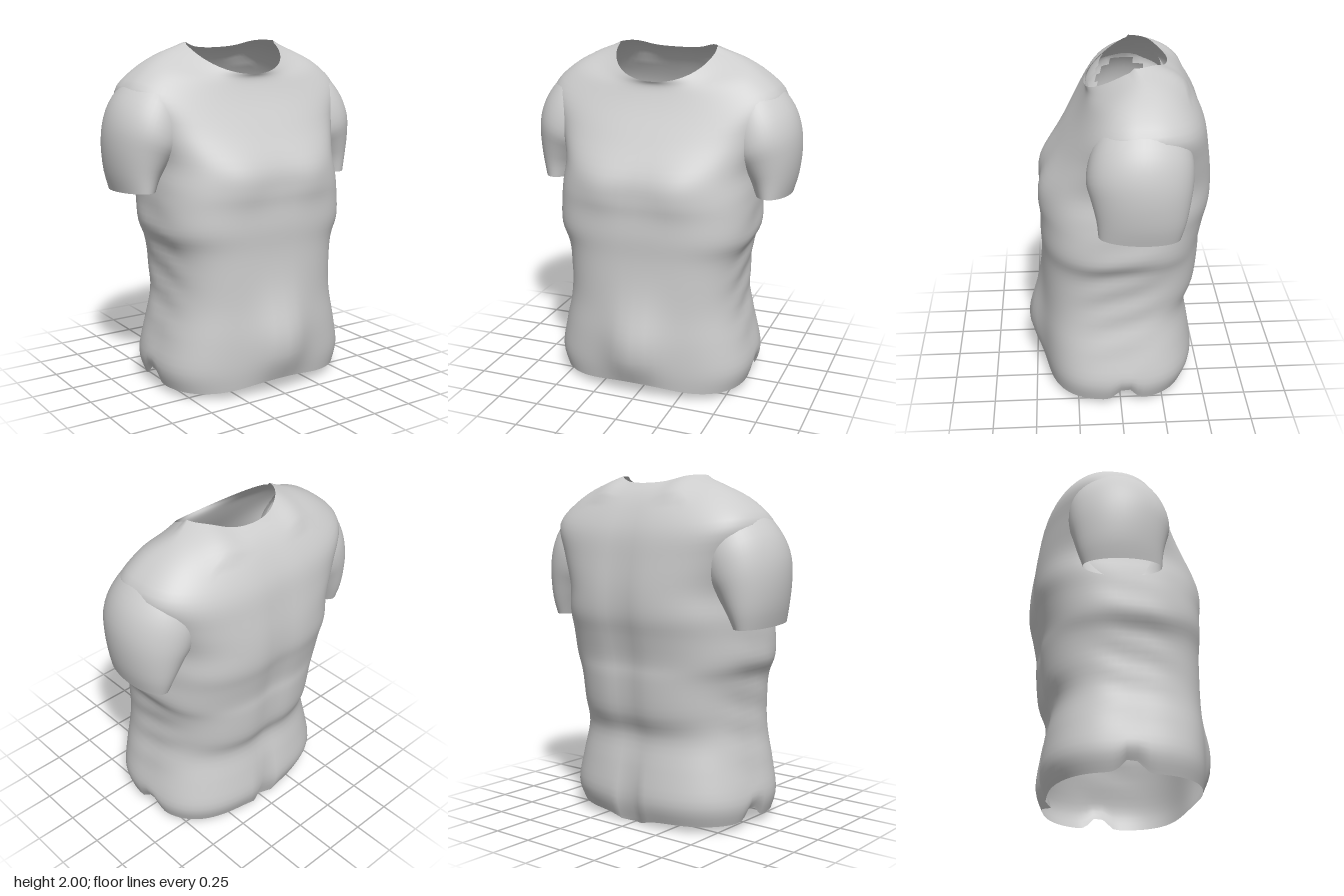
import * as THREE from 'three';

const cloth = new THREE.MeshStandardMaterial({ color: 0xcccccc, side: THREE.DoubleSide });
cloth.name = 'light grey cloth';

const gauss = (v, w) => Math.exp(-(v / w) * (v / w));
const mix = (a, b, t) => a + (b - a) * t;

// Smoothly subdivide a list of cross-section rows
function refine(rows, steps) {
  const out = [];
  const at = i => rows[Math.min(Math.max(i, 0), rows.length - 1)];
  for (let i = 0; i < rows.length - 1; i++) {
    for (let s = 0; s < steps; s++) {
      const t = s / steps, p = at(i - 1), q = at(i), r = at(i + 1), w = at(i + 2);
      out.push(q.map((_, k) => q[k] + 0.5 * t * (r[k] - p[k]
        + t * (2 * p[k] - 5 * q[k] + 4 * r[k] - w[k] + t * (3 * (q[k] - r[k]) + w[k] - p[k])))));
    }
  }
  out.push(rows[rows.length - 1]);
  return out;
}

// Skin closed rings; point(row, angle) returns [x, y, z]; faces with all corners hidden are left out
function loft(rows, segments, point, hidden) {
  const points = [], index = [];
  for (const row of rows) {
    for (let j = 0; j < segments; j++) points.push(point(row, (j / segments) * Math.PI * 2));
  }
  for (let i = 0; i < rows.length - 1; i++) {
    for (let j = 0; j < segments; j++) {
      const a = i * segments + j, b = i * segments + (j + 1) % segments;
      const c = a + segments, d = b + segments;
      if ([a, b, c, d].every(k => hidden(...points[k]))) continue;
      index.push(a, c, b, b, c, d);
    }
  }
  const g = new THREE.BufferGeometry();
  g.setAttribute('position', new THREE.Float32BufferAttribute(points.flat(), 3));
  g.setIndex(index);
  g.computeVertexNormals();
  return g;
}

// Torso rows: half width, side y, side z, front y, front z, back y, back z, front power, back power
const torsoRows = [
  [0.575, 0.04, 0, 0.04, 0.435, 0.04, -0.42, 0.7, 0.75],
  [0.605, 0.16, 0, 0.16, 0.445, 0.16, -0.46, 0.7, 0.75],
  [0.57, 0.34, 0, 0.34, 0.45, 0.34, -0.44, 0.7, 0.75],
  [0.53, 0.53, 0, 0.52, 0.445, 0.52, -0.415, 0.7, 0.75],
  [0.525, 0.7, 0, 0.7, 0.445, 0.66, -0.465, 0.7, 0.75],
  [0.54, 0.85, 0, 0.85, 0.445, 0.85, -0.485, 0.7, 0.75],
  [0.585, 0.96, 0, 0.98, 0.45, 0.96, -0.485, 0.7, 0.75],
  [0.585, 1.1, 0, 1.1, 0.445, 1.1, -0.51, 0.7, 0.72],
  [0.58, 1.22, -0.03, 1.2, 0.445, 1.22, -0.535, 0.7, 0.7],
  [0.57, 1.37, -0.06, 1.33, 0.425, 1.36, -0.535, 0.72, 0.7],
  [0.64, 1.56, -0.08, 1.5, 0.325, 1.52, -0.515, 0.78, 0.72],
  [0.7, 1.73, -0.1, 1.65, 0.235, 1.68, -0.485, 0.78, 0.74],
  [0.59, 1.855, -0.11, 1.75, 0.185, 1.81, -0.425, 0.8, 0.8],
  [0.43, 1.945, -0.12, 1.8, 0.17, 1.9, -0.36, 0.85, 0.9],
  [0.3, 1.985, -0.08, 1.825, 0.18, 1.955, -0.29, 0.95, 1.1],
];

function torsoPoint([sx, sy, sz, fy, fz, by, bz, fp, bp], a) {
  const s = Math.sin(a), c = Math.cos(a), m = Math.abs(s), front = s > 0;
  const power = front ? fp : bp;
  const drop = front ? mix(2, 1.1, THREE.MathUtils.smoothstep(sy, 1.85, 1.985)) : 2;
  let x = sx * Math.sign(c) * Math.abs(c) ** power;
  let y = mix(sy, front ? fy : by, m ** drop);
  let z = mix(sz, front ? fz : bz, m ** power);
  if (front) {
    z += 0.09 * gauss(x, 0.17) * gauss(y - 0.3, 0.27);                  // belly
    z += 0.02 * gauss(Math.abs(x) - 0.22, 0.14) * gauss(y - 1.25, 0.14); // chest
  } else {
    z += 0.025 * gauss(x, 0.1) * gauss(y - 0.95, 0.7);                  // spine groove
    z += 0.04 * gauss(x, 0.03) * gauss(y - 0.1, 0.2);                   // centre pleat
    if (y > 1.85) y += 0.02 * gauss(Math.abs(x) - 0.25, 0.08);          // collar peaks
  }
  // wrinkles along the flanks
  x += 0.006 * Math.sign(x) * gauss(m, 0.35) * Math.sin(y * 34 + z * 9) * gauss(y - 0.7, 0.35);
  // wavy hem with small side notches
  const hem = Math.max(0, 1 - (y - 0.04) / 0.2);
  y += hem * (front ? 0.05 * gauss(x, 0.25) : -0.04 * gauss(x, 0.12));
  y += hem * 0.08 * gauss(z + 0.03, 0.06) * gauss(m, 0.5);
  return [x, Math.max(0, Math.min(2, y)), z];
}

// Opening in the torso wall where the arm passes through
const armhole = (x, y, z) => Math.abs(x) > 0.48 && Math.hypot((y - 1.53) / 0.22, (z + 0.09) / 0.2) < 1;
// Part of the sleeve that would lie inside the torso
const insideTorso = (x, y) => Math.abs(x) < 0.5 && y > 1.36;

// Sleeve rows: outer x, outer y, inner x, inner y, half depth, centre z
const sleeveRows = [
  [0.56, 1.865, 0.42, 1.64, 0.19, -0.115],
  [0.66, 1.79, 0.37, 1.53, 0.25, -0.105],
  [0.75, 1.68, 0.36, 1.46, 0.28, -0.1],
  [0.795, 1.56, 0.39, 1.39, 0.285, -0.095],
  [0.805, 1.43, 0.45, 1.34, 0.265, -0.1],
  [0.79, 1.29, 0.52, 1.26, 0.24, -0.1],
  [0.762, 1.18, 0.565, 1.18, 0.22, -0.09],
];

function sleevePoint(side) {
  return ([ox, oy, ix, iy, d, cz], a) => {
    const t = 0.5 + 0.5 * Math.cos(a), z = cz - side * d * Math.sin(a);
    const hemTilt = 0.05 * (z + 0.09) * THREE.MathUtils.smoothstep(1.45 - oy, 0, 0.2);
    return [side * mix(ix, ox, t), mix(iy, oy, t) + hemTilt, z];
  };
}

export function createModel() {
  const group = new THREE.Group();
  group.name = 'shirt';
  const add = (name, geometry) => {
    const mesh = new THREE.Mesh(geometry, cloth);
    mesh.name = name;
    group.add(mesh);
  };
  add('torso', loft(refine(torsoRows, 4), 96, torsoPoint, armhole));
  add('leftSleeve', loft(refine(sleeveRows, 3), 48, sleevePoint(1), insideTorso));
  add('rightSleeve', loft(refine(sleeveRows, 3), 48, sleevePoint(-1), insideTorso));
  return group;
}
